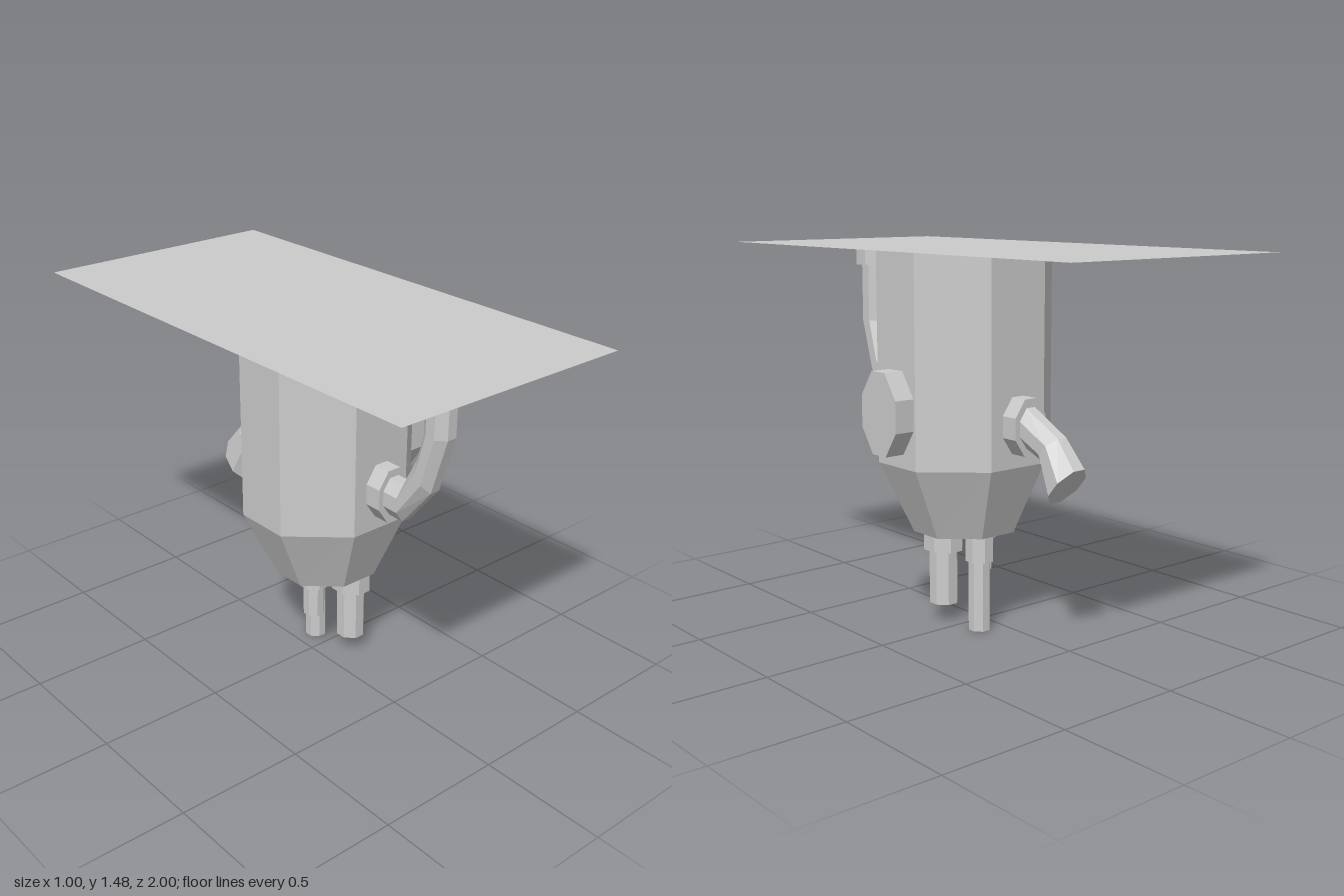
import * as THREE from 'three';

const V = (x, y, z) => new THREE.Vector3(x, y, z);
const material = new THREE.MeshStandardMaterial({ color: 0xcccccc, flatShading: true, side: THREE.DoubleSide });
const CX = 0.073, CZ = 0.015; // axis of the tank

// Eight points around c; u and v are the half extents across the flats (u x v points along the loft).
function octagon(c, u, v) {
  const k = 0.385;
  return [[1, -k], [1, k], [k, 1], [-k, 1], [-1, k], [-1, -k], [-k, -1], [k, -1]]
    .map(([a, b]) => c.clone().addScaledVector(u, a).addScaledVector(v, b));
}

// Flat-sided skin through the rings, with optional end caps.
function loft(name, rings, capStart = true, capEnd = true) {
  const points = [];
  for (let r = 0; r < rings.length - 1; r++) {
    const a = rings[r], b = rings[r + 1];
    for (let i = 0; i < 8; i++) {
      const j = (i + 1) % 8;
      points.push(a[i], a[j], b[j], a[i], b[j], b[i]);
    }
  }
  const first = rings[0], last = rings[rings.length - 1];
  for (let i = 1; i < 7; i++) {
    if (capStart) points.push(first[0], first[i + 1], first[i]);
    if (capEnd) points.push(last[0], last[i], last[i + 1]);
  }
  const geometry = new THREE.BufferGeometry().setFromPoints(points);
  geometry.computeVertexNormals();
  const mesh = new THREE.Mesh(geometry, material);
  mesh.name = name;
  return mesh;
}

// Ring lying flat, for parts rising along y
const level = (x, y, z, rx, rz) => octagon(V(x, y, z), V(0, 0, rz), V(rx, 0, 0));

// Ring spanning two [z, y] edge points in the side plane, rx wide to each side
function sideRing([z0, y0], [z1, y1], rx) {
  return octagon(V(CX, (y0 + y1) / 2, (z0 + z1) / 2), V(rx, 0, 0), V(0, (y1 - y0) / 2, (z1 - z0) / 2));
}

export function createModel() {
  const model = new THREE.Group();

  // Ceiling sheet
  const ceiling = new THREE.Mesh(new THREE.PlaneGeometry(1, 2).rotateX(-Math.PI / 2), material);
  ceiling.name = 'ceilingPanel';
  ceiling.position.y = 1.48;
  model.add(ceiling);

  // Tank with tapered bottom
  model.add(loft('tank', [
    level(CX, 0.39, CZ, 0.205, 0.188),
    level(CX, 0.675, CZ, 0.336, 0.3),
    level(CX, 1.48, CZ, 0.336, 0.3),
  ], true, false));

  // Hatch on the left side
  const hatchRing = (x) => octagon(V(x, 0.885, CZ), V(0, 0.156, 0), V(0, 0, 0.105));
  model.add(loft('sideHatch', [hatchRing(0.405), hatchRing(0.49)]));

  // Collars where the pipes leave the tank
  model.add(loft('frontCollar', [0.31, 0.385].map((z) => sideRing([z, 0.732], [z, 0.945], 0.073))));
  model.add(loft('backCollar', [-0.28, -0.355].map((z) => sideRing([z, 0.945], [z, 0.732], 0.073))));

  // Front pipe bending up to the ceiling
  model.add(loft('frontPipe', [
    sideRing([0.38, 0.765], [0.38, 0.915], 0.053),
    sideRing([0.455, 0.762], [0.455, 0.915], 0.053),
    sideRing([0.595, 0.93], [0.52, 1.04], 0.053),
    sideRing([0.665, 1.16], [0.552, 1.16], 0.053),
    sideRing([0.665, 1.4], [0.552, 1.4], 0.053),
  ]));
  model.add(loft('ceilingCollar', [1.39, 1.48].map((y) => level(CX, y, 0.61, 0.073, 0.08)), true, false));

  // Back spout, bent down and flaring
  model.add(loft('backSpout', [
    sideRing([-0.35, 0.915], [-0.35, 0.765], 0.053),
    sideRing([-0.522, 0.823], [-0.43, 0.733], 0.054),
    sideRing([-0.612, 0.72], [-0.49, 0.58], 0.07),
  ]));

  // Nozzles below: x, z, collar bottom, collar rx/rz, pipe bottom, pipe rx/rz
  const nozzles = [
    [0.13, 0.092, 0.295, 0.073, 0.082, 0.075, 0.054, 0.057],
    [0.095, -0.088, 0.28, 0.052, 0.057, 0, 0.041, 0.042],
    [-0.014, 0.03, 0.335, 0.058, 0.06, 0.2, 0.041, 0.042],
  ];
  for (const [x, z, y1, rx1, rz1, y2, rx2, rz2] of nozzles) {
    const nozzle = new THREE.Group();
    nozzle.name = 'nozzle';
    nozzle.add(loft('nozzleCollar', [level(x, y1, z, rx1, rz1), level(x, 0.395, z, rx1, rz1)]));
    nozzle.add(loft('nozzlePipe', [level(x, y2, z, rx2, rz2), level(x, y1 + 0.01, z, rx2, rz2)]));
    model.add(nozzle);
  }
  return model;
}
